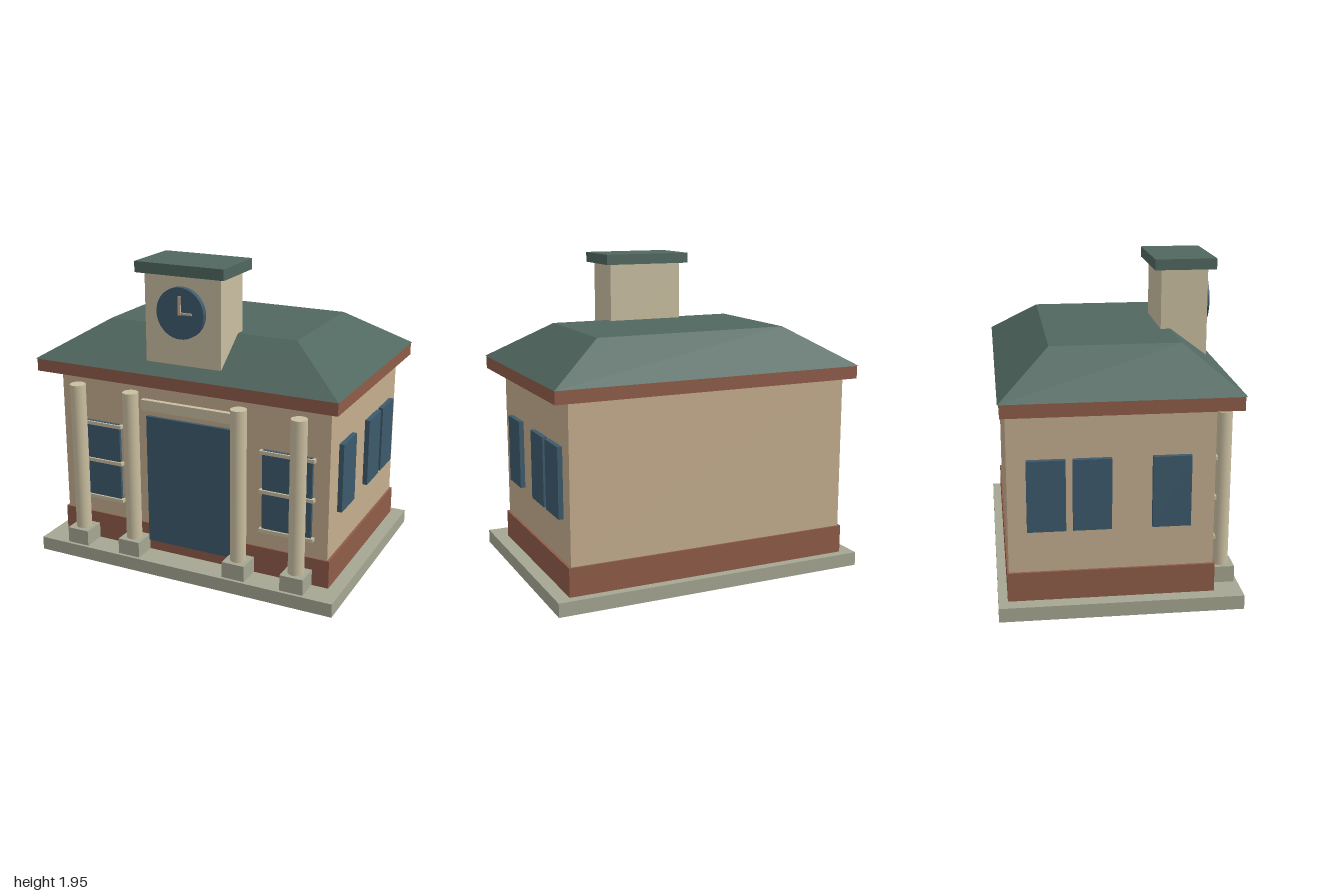
import * as THREE from 'three';

const mat = (name, color) => {
  const m = new THREE.MeshStandardMaterial({ color });
  m.name = name;
  return m;
};

export function createModel() {
  const root = new THREE.Group();
  root.name = 'townHall';
  const stone = mat('grey stone', 0xa6a693);
  const brick = mat('red brick', 0x8f5c48);
  const plaster = mat('tan plaster', 0xc4ad8e);
  const cream = mat('cream trim', 0xc9bea0);
  const slate = mat('green slate', 0x50675f);
  const glass = mat('blue glass', 0x3d5a6c);

  const add = (name, geometry, material, parent = root) => {
    const mesh = new THREE.Mesh(geometry, material);
    mesh.name = name;
    parent.add(mesh);
    return mesh;
  };
  // Box given by its limits on each axis
  const box = (name, material, [x0, x1], [y0, y1], [z0, z1], parent) => {
    const g = new THREE.BoxGeometry(x1 - x0, y1 - y0, z1 - z0);
    g.translate((x0 + x1) / 2, (y0 + y1) / 2, (z0 + z1) / 2);
    return add(name, g, material, parent);
  };

  // Body
  box('foundationSlab', stone, [-1, 1], [0, 0.085], [-0.715, 0.715]);
  box('brickPlinth', brick, [-0.915, 0.915], [0.085, 0.26], [-0.66, 0.55]);
  box('walls', plaster, [-0.9, 0.9], [0.26, 1.21], [-0.65, 0.54]);
  box('eaves', brick, [-0.985, 0.985], [1.21, 1.29], [-0.68, 0.68]);

  // Hipped roof with a flat top: a box whose upper corners move inward
  const roof = new THREE.BoxGeometry(1.98, 0.23, 1.38);
  const p = roof.attributes.position;
  for (let i = 0; i < p.count; i++) {
    if (p.getY(i) > 0) {
      p.setX(i, Math.sign(p.getX(i)) * 0.62);
      p.setZ(i, Math.sign(p.getZ(i)) * 0.385);
    }
  }
  roof.translate(0, 1.405, 0);
  roof.computeVertexNormals();
  add('roof', roof, slate);

  // Clock tower
  const tower = new THREE.Group();
  tower.name = 'clockTower';
  root.add(tower);
  box('towerBody', cream, [-0.245, 0.245], [1.3, 1.885], [0.325, 0.61], tower);
  box('towerCap', slate, [-0.285, 0.285], [1.885, 1.95], [0.28, 0.655], tower);
  const face = add('clockFace', new THREE.CylinderGeometry(0.152, 0.152, 0.034, 40), glass, tower);
  face.rotation.x = Math.PI / 2;
  face.position.set(0, 1.668, 0.627);
  box('minuteHand', plaster, [-0.008, 0.008], [1.66, 1.772], [0.644, 0.653], tower);
  box('hourHand', plaster, [0.008, 0.08], [1.664, 1.676], [0.644, 0.653], tower);

  // Entrance
  box('door', glass, [-0.288, 0.288], [0.15, 0.98], [0.53, 0.562]);
  box('doorLintel', cream, [-0.318, 0.318], [1.02, 1.085], [0.53, 0.573]);

  // Columns on square bases
  for (const x of [-0.737, -0.361, 0.361, 0.737]) {
    const column = new THREE.Group();
    column.name = 'column';
    root.add(column);
    box('columnBase', stone, [x - 0.073, x + 0.073], [0.085, 0.185], [0.55, 0.695], column);
    const shaft = add('columnShaft', new THREE.CylinderGeometry(0.049, 0.049, 0.955, 20), cream, column);
    shaft.position.set(x, 0.6625, 0.62);
  }

  for (const side of [-1, 1]) {
    // Front windows with three cross bars
    const cx = side * 0.643;
    const win = new THREE.Group();
    win.name = side > 0 ? 'leftFrontWindow' : 'rightFrontWindow';
    root.add(win);
    box('windowPane', glass, [cx - 0.157, cx + 0.157], [0.37, 0.89], [0.53, 0.56], win);
    for (const y of [0.38, 0.63, 0.877]) {
      box('windowBar', cream, [cx - 0.173, cx + 0.173], [y - 0.011, y + 0.011], [0.54, 0.572], win);
    }
    // Side windows
    for (const z of [0.288, -0.168, -0.43]) {
      const x = side * 0.915;
      box('sideWindow', glass, [x - 0.015, x + 0.015], [0.515, 0.94], [z - 0.111, z + 0.111]);
    }
  }
  return root;
}
